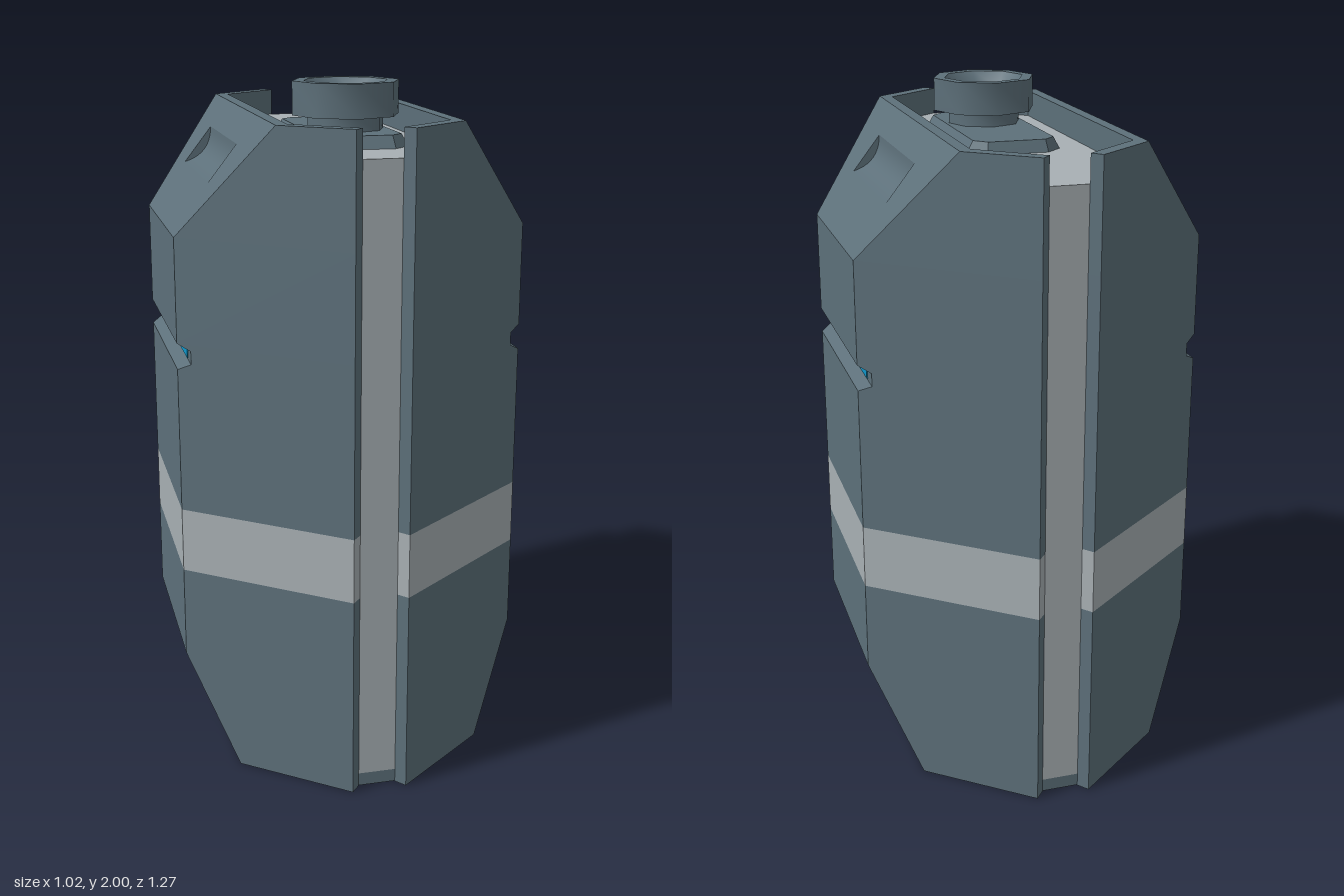
import * as THREE from 'three';
import { toCreasedNormals } from 'three/addons/utils/BufferGeometryUtils.js';

const shellMat = new THREE.MeshStandardMaterial({ color: 0x5d707a });
shellMat.name = 'slate shell';
const lightMat = new THREE.MeshStandardMaterial({ color: 0xa8b0b4 });
lightMat.name = 'light grey';
const glowMat = new THREE.MeshStandardMaterial({ color: 0x1098cc });
glowMat.name = 'bright blue';

// flat-shaded geometry from a list of four-cornered faces
function quads(list) {
  const p = [];
  for (const [a, b, c, d] of list) p.push(...a, ...b, ...c, ...a, ...c, ...d);
  const g = new THREE.BufferGeometry();
  g.setAttribute('position', new THREE.Float32BufferAttribute(p, 3));
  g.computeVertexNormals();
  return g;
}

function part(name, geometry, material, parent) {
  const m = new THREE.Mesh(geometry, material);
  m.name = name;
  parent.add(m);
  return m;
}

// upright prism from a plan of [x, z] points
function prism(plan, y0, y1) {
  const s = new THREE.Shape(plan.map(([x, z]) => new THREE.Vector2(x, -z)));
  const g = new THREE.ExtrudeGeometry(s, { depth: y1 - y0, bevelEnabled: false });
  return g.rotateX(-Math.PI / 2).translate(0, y0, 0);
}

// height and outermost x of the shell: bottom chamfer, stripe, groove, top chamfer
const LEVELS = [[0, 0.37], [0.33, 0.51], [0.6, 0.51], [0.79, 0.51], [1.213, 0.51],
  [1.232, 0.475], [1.27, 0.475], [1.289, 0.51], [1.59, 0.51], [1.91, 0.26]];
const STRIPE = 2, CHAMFER = LEVELS.length - 2;
const slantZ = (x) => 0.635 - (x - 0.08) * 0.802;

function shellRing([y, x]) {
  const z = slantZ(x);
  return [[0.08, y, 0.635], [x, y, z], [x, y, -z], [0.08, y, -0.635],
    [0.055, y, -0.605], [0.225, y, -0.465], [0.225, y, 0.465], [0.055, y, 0.605]];
}

function halfShell() {
  const half = new THREE.Group();
  const rings = LEVELS.map(shellRing);
  const dark = [], light = [];
  for (let k = 0; k < rings.length - 1; k++) {
    const lo = rings[k], hi = rings[k + 1];
    for (let i = 0; i < 8; i++) {
      if (k === CHAMFER && i === 1) continue; // face with the scoop is made below
      const j = (i + 1) % 8;
      const painted = k === STRIPE && (i <= 3 || i === 7);
      (painted ? light : dark).push([lo[i], lo[j], hi[j], hi[i]]);
    }
  }
  const top = rings[rings.length - 1], bottom = rings[0];
  for (let i = 0; i < 3; i++) {
    dark.push([top[i], top[i + 1], top[6 - i], top[7 - i]]);
    dark.push([bottom[7 - i], bottom[6 - i], bottom[i + 1], bottom[i]]);
  }
  part('shellWall', quads(dark), shellMat, half);
  part('shellStripe', quads(light), lightMat, half);

  // light bar in the groove
  const bar = part('grooveLight', new THREE.BoxGeometry(0.008, 0.026, 0.52), glowMat, half);
  bar.position.set(0.474, 1.25, 0);

  // sloping shoulder with a shallow scooped grip
  const shoulder = new THREE.Group();
  shoulder.name = 'shoulder';
  const len = Math.hypot(0.25, 0.32);
  const up = new THREE.Vector3(-0.25, 0.32, 0).divideScalar(len);
  const out = new THREE.Vector3(0.32, 0.25, 0).divideScalar(len);
  const basis = new THREE.Matrix4().makeBasis(new THREE.Vector3(0, 0, -1), up, out);
  shoulder.quaternion.setFromRotationMatrix(basis);
  shoulder.position.set(0.385, 1.75, 0);
  half.add(shoulder);

  const w = 0.46, h = 0.133, mid = 0.04, depth = 0.025;
  const v2 = (x, y) => new THREE.Vector2(x, y);
  const zLow = slantZ(0.51), zTop = slantZ(0.26);
  const face = new THREE.Shape([v2(-zLow, -len / 2), v2(zLow, -len / 2), v2(zTop, len / 2), v2(-zTop, len / 2)]);
  face.holes.push(new THREE.Path([v2(-w / 2, mid - h / 2), v2(-w / 2, mid + h / 2),
    v2(w / 2, mid + h / 2), v2(w / 2, mid - h / 2)]));
  part('shoulderFace', new THREE.ShapeGeometry(face), shellMat, shoulder);

  const sag = (y) => -depth * (1 - (2 * y / h) ** 2);
  const floor = new THREE.PlaneGeometry(w, h, 1, 10);
  const pos = floor.attributes.position;
  for (let i = 0; i < pos.count; i++) pos.setZ(i, sag(pos.getY(i)));
  floor.computeVertexNormals();
  part('scoopFloor', floor, shellMat, shoulder).position.y = mid;

  const ends = [];
  for (let i = 0; i < 10; i++) {
    const a = (i / 10 - 0.5) * h, b = ((i + 1) / 10 - 0.5) * h;
    for (const s of [-1, 1]) {
      const x = s * w / 2;
      const q = [[x, a, sag(a)], [x, b, sag(b)], [x, b, 0], [x, a, 0]];
      ends.push(s < 0 ? q : q.reverse());
    }
  }
  part('scoopEnds', quads(ends), shellMat, shoulder).position.y = mid;
  return half;
}

// rectangle with cut corners as a level ring
function cutRect(y, hx, z0, z1, c) {
  return [[hx - c, y, z1], [hx, y, z1 - c], [hx, y, z0 + c], [hx - c, y, z0],
    [c - hx, y, z0], [-hx, y, z0 + c], [-hx, y, z1 - c], [c - hx, y, z1]];
}

export function createModel() {
  const model = new THREE.Group();
  model.name = 'canister';

  // two matching shell halves
  for (const [name, turn] of [['leftShell', 0], ['rightShell', Math.PI]]) {
    const half = halfShell();
    half.name = name;
    half.rotation.y = turn;
    model.add(half);
  }

  // inner tank showing between the halves, and its base
  const plan = [[0.06, 0.604], [0.227, 0.464], [0.227, -0.464], [0.06, -0.604],
    [-0.06, -0.604], [-0.227, -0.464], [-0.227, 0.464], [-0.06, 0.604]];
  part('innerTank', prism(plan, 0.04, 1.83), lightMat, model);
  part('basePlate', prism(plan, 0.001, 0.04), shellMat, model);

  // bevelled plate under the cap
  const lo = cutRect(1.829, 0.14, -0.16, 0.41, 0.05);
  const hi = cutRect(1.865, 0.12, -0.145, 0.39, 0.035);
  const plate = lo.map((p, i) => [p, lo[(i + 1) % 8], hi[(i + 1) % 8], hi[i]]);
  plate.push([hi[0], hi[1], hi[6], hi[7]], [hi[1], hi[2], hi[5], hi[6]], [hi[2], hi[3], hi[4], hi[5]]);
  part('neckPlate', quads(plate), shellMat, model);

  // eight-sided neck and cap with a dished top
  const profile = [[0.11, 1.86], [0.11, 1.905], [0.155, 1.905], [0.155, 2], [0.122, 2], [0.092, 1.955], [0, 1.955]]
    .map(([r, y]) => new THREE.Vector2(r, y));
  const cap = part('cap', toCreasedNormals(new THREE.LatheGeometry(profile, 8), 0.85), shellMat, model);
  cap.position.z = 0.2;

  return model;
}
